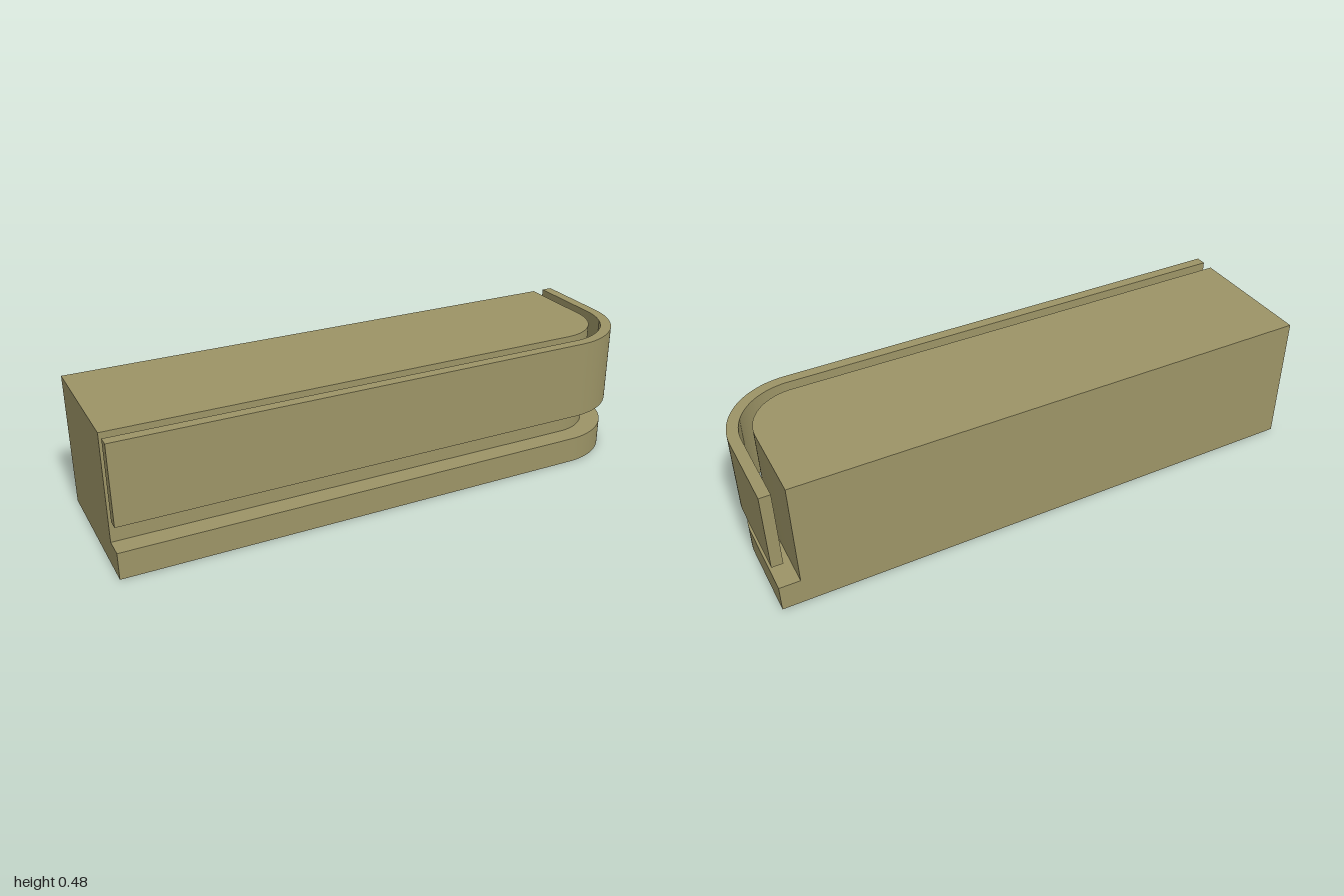
import * as THREE from 'three';
import { toCreasedNormals } from 'three/addons/utils/BufferGeometryUtils.js';

const END = -1, BACK = -0.282;    // flat end and back planes
const CX = 0.73, CZ = 0.012;      // shared centre of the rounded corner

// Path along the front, round the corner and to the back, at radius r from the corner centre
function frontEdge(shape, r) {
  shape.moveTo(END, CZ + r);
  shape.lineTo(CX, CZ + r);
  shape.absarc(CX, CZ, r, Math.PI / 2, 0, true);
  shape.lineTo(CX + r, BACK);
  return shape;
}

// Solid plan reaching back to the flat end and back
function solidPlan(r) {
  const s = frontEdge(new THREE.Shape(), r);
  s.lineTo(END, BACK);
  s.closePath();
  return s;
}

// Thin band between two concentric edges
function bandPlan(outer, inner) {
  const s = frontEdge(new THREE.Shape(), outer);
  s.lineTo(CX + inner, BACK);
  s.lineTo(CX + inner, CZ);
  s.absarc(CX, CZ, inner, 0, Math.PI / 2, false);
  s.lineTo(END, CZ + inner);
  s.closePath();
  return s;
}

export function createModel() {
  const group = new THREE.Group();
  const material = new THREE.MeshStandardMaterial({ color: 0x9c9466 });

  // Stand a plan (x, z) up between two heights
  const add = (name, plan, bottom, top) => {
    const geo = new THREE.ExtrudeGeometry(plan, {
      depth: top - bottom, bevelEnabled: false, curveSegments: 24,
    });
    geo.rotateX(Math.PI / 2);
    geo.translate(0, top, 0);
    const mesh = new THREE.Mesh(toCreasedNormals(geo, Math.PI / 6), material);
    mesh.name = name;
    group.add(mesh);
  };

  add('basePlinth', solidPlan(0.26), 0, 0.096);
  add('core', solidPlan(0.187), 0.096, 0.48);
  // Facing panel, set off from the core by an open slot
  add('facingPanel', bandPlan(0.27, 0.231), 0.194, 0.48);

  return group;
}
